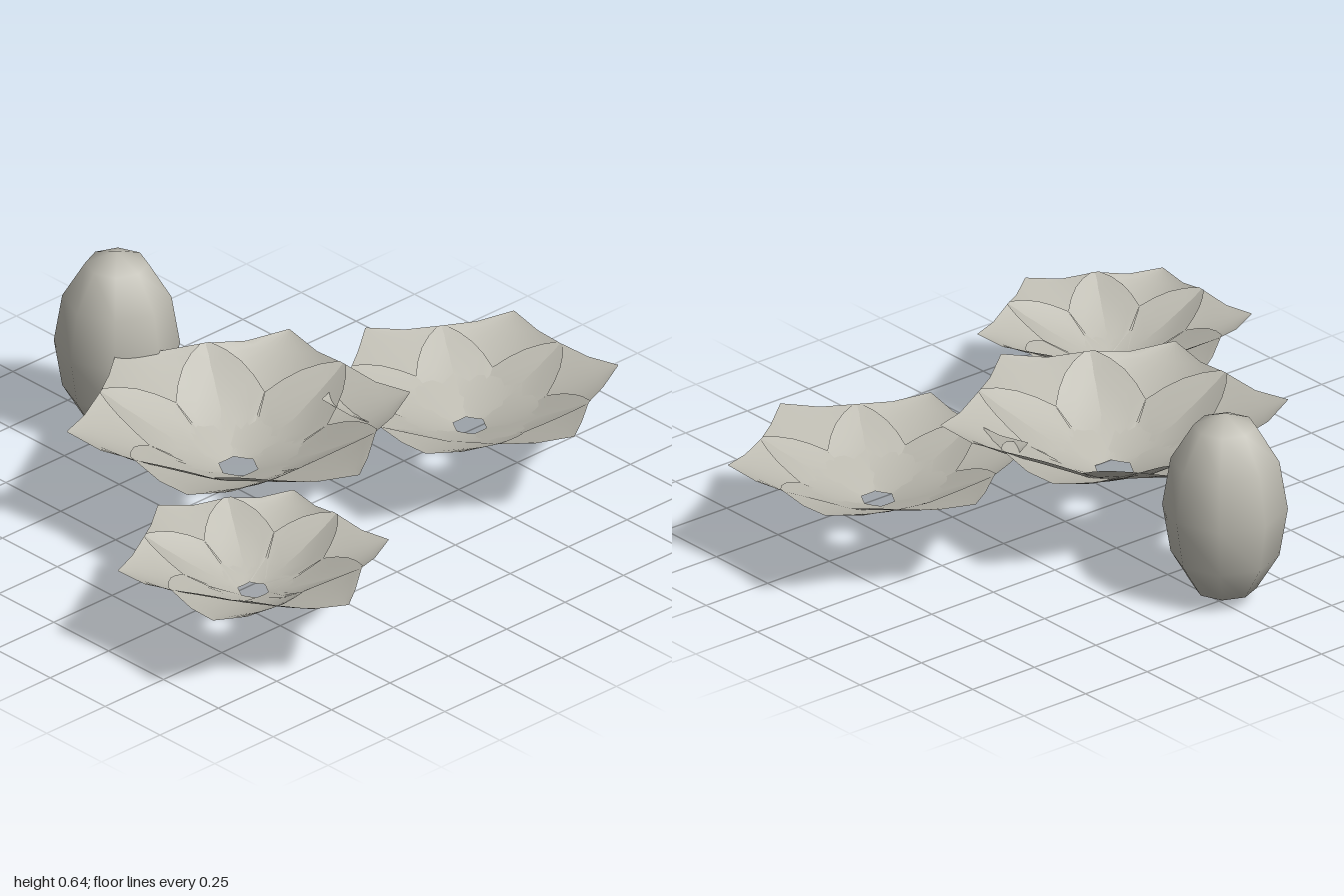
import * as THREE from 'three';

const petalMaterial = new THREE.MeshStandardMaterial({ color: 0xbcbab0, side: THREE.DoubleSide });
petalMaterial.name = 'pale stone grey';

// Petal outline: distance from the flower centre and half-width, as fractions of the radius
const OUTLINE = [[0.1, 0.06], [0.17, 0.28], [0.26, 0.45], [0.37, 0.47], [0.48, 0.475], [0.59, 0.46], [0.69, 0.43], [0.85, 0.21], [1, 0.004]];
const COLUMNS = 8;
const BASE_Y = 0.18;

// Broad pointed petal along +z, rising outwards with its side edges curled up
function petalGeometry(radius, rise, curl) {
  const positions = [], indices = [];
  OUTLINE.forEach(([along, halfWidth], row) => {
    for (let c = 0; c <= COLUMNS; c++) {
      const side = halfWidth * (2 * c / COLUMNS - 1);
      const y = BASE_Y + rise * (along - 0.1) / 0.9 + curl * (side / 0.455) ** 2;
      positions.push(side * radius, y, along * radius);
      if (row > 0 && c > 0) {
        const d = row * (COLUMNS + 1) + c, b = d - COLUMNS - 1;
        indices.push(b - 1, d - 1, b, b, d - 1, d);
      }
    }
  });
  const geometry = new THREE.BufferGeometry();
  geometry.setAttribute('position', new THREE.Float32BufferAttribute(positions, 3));
  geometry.setIndex(indices);
  geometry.computeVertexNormals();
  return geometry;
}

// Six overlapping petals around an open hexagonal centre
function createFlower(name, x, z, radius, rise, curl) {
  const flower = new THREE.Group();
  flower.name = name;
  const geometry = petalGeometry(radius, rise, curl);
  for (let i = 0; i < 6; i++) {
    const petal = new THREE.Mesh(geometry, petalMaterial);
    petal.name = 'petal';
    petal.rotation.y = i * Math.PI / 3;
    flower.add(petal);
  }
  flower.position.set(x, 0, z);
  return flower;
}

export function createModel() {
  const model = new THREE.Group();
  model.name = 'flowers';
  model.add(
    createFlower('largeFlower', -0.12, -0.095, 0.55, 0.195, 0.08),
    createFlower('leftFlower', 0.585, 0.21, 0.475, 0.155, 0.05),
    createFlower('rightFlower', -0.625, 0.51, 0.434, 0.125, 0.065)
  );

  // Egg-shaped bud behind the flowers
  const bud = new THREE.Mesh(new THREE.SphereGeometry(1, 8, 6), petalMaterial);
  bud.name = 'bud';
  bud.scale.set(0.197, 0.322, 0.197);
  bud.position.set(-0.022, 0.322, -0.753);
  model.add(bud);
  return model;
}
